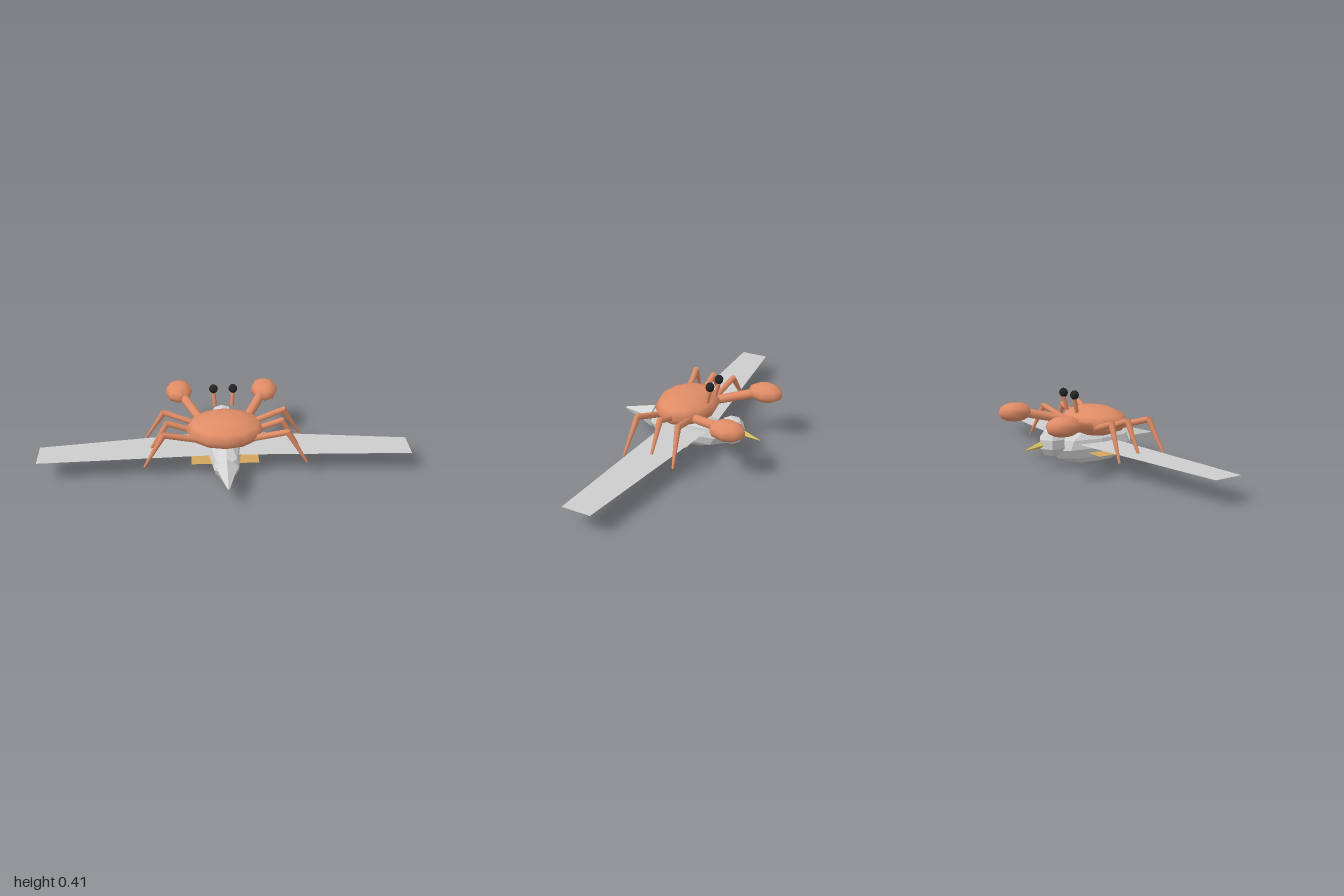
import * as THREE from 'three';

const mat = (name, color, opts = {}) => {
  const m = new THREE.MeshStandardMaterial({ color, ...opts });
  m.name = name;
  return m;
};

export function createModel() {
  const group = new THREE.Group();
  const shell = mat('orange shell', 0xe08c66);
  const feather = mat('grey feathers', 0xd2d2d2, { flatShading: true });
  const wingMat = mat('wing grey', 0xcccccc, { side: THREE.DoubleSide });
  const beakMat = mat('beak yellow', 0xd8c060, { flatShading: true });
  const footMat = mat('foot tan', 0xd2a55c, { side: THREE.DoubleSide });
  const black = mat('eye black', 0x242424);

  const add = (name, geo, material) => {
    const m = new THREE.Mesh(geo, material);
    m.name = name;
    group.add(m);
    return m;
  };

  // Scaled sphere; turn rotates its facets about the upright axis
  const ball = (name, material, c, r, w, h, turn = 0) =>
    add(name, new THREE.SphereGeometry(1, w, h).rotateY(turn).scale(...r).translate(...c), material);

  // Tapered rod from a to b
  const rod = (name, material, a, b, ra, rb, sides = 8, turn = 0) => {
    const A = new THREE.Vector3(...a), B = new THREE.Vector3(...b);
    const dir = B.clone().sub(A);
    const geo = new THREE.CylinderGeometry(rb, ra, dir.length(), sides).rotateY(turn);
    const m = add(name, geo, material);
    m.quaternion.setFromUnitVectors(new THREE.Vector3(0, 1, 0), dir.normalize());
    m.position.copy(A).add(B).multiplyScalar(0.5);
    return m;
  };

  // Flat horizontal plate from [x, z] corners
  const plate = (name, material, pts, y) => {
    const s = new THREE.Shape(pts.map(([x, z]) => new THREE.Vector2(x, -z)));
    return add(name, new THREE.ShapeGeometry(s).rotateX(-Math.PI / 2).translate(0, y, 0), material);
  };

  // Bird
  ball('birdBody', feather, [0, 0.097, 0.027], [0.093, 0.095, 0.267], 8, 6);
  ball('birdHead', feather, [0, 0.14, -0.238], [0.078, 0.077, 0.078], 6, 5, Math.PI / 2);
  rod('beak', beakMat, [0, 0.138, -0.295], [0, 0.118, -0.405], 0.022, 0.001, 4);
  rod('tail', feather, [0, 0.112, 0.235], [0, 0.116, 0.422], 0.064, 0.006, 5, Math.PI);
  // One plate per wing and foot, counter-clockwise seen from above
  plate('wings', wingMat, [[-1, -0.004], [-1, 0.153], [0, 0.118], [1, 0.153], [1, -0.004], [0, -0.122]], 0.125);
  for (const s of [1, -1]) {
    const pts = [[s * 0.06, -0.06], [s * 0.06, 0.127], [s * 0.182, 0.127], [s * 0.182, -0.06]];
    plate(s > 0 ? 'leftFoot' : 'rightFoot', footMat, s > 0 ? pts : pts.reverse(), 0.075);
  }

  // Crab
  ball('crabBody', shell, [0, 0.235, 0.028], [0.212, 0.08, 0.166], 12, 6);
  for (const s of [1, -1]) {
    const side = s > 0 ? 'left' : 'right';

    // Claw and arm
    rod(side + 'Arm', shell, [s * 0.12, 0.225, -0.07], [s * 0.215, 0.268, -0.26], 0.024, 0.026);
    ball(side + 'Claw', shell, [s * 0.242, 0.276, -0.322], [0.076, 0.052, 0.1], 8, 6);

    // Eye on a stalk
    rod(side + 'EyeStalk', shell, [s * 0.047, 0.297, -0.113], [s * 0.053, 0.385, -0.135], 0.011, 0.011);
    ball(side + 'Eye', black, [s * 0.053, 0.391, -0.131], [0.024, 0.025, 0.024], 8, 6);

    // Three bent legs: body joint z, knee z, tip z, knee x, tip x
    const legs = [[-0.055, -0.088, -0.116, 0.328, 0.432], [0.027, 0.027, 0.027, 0.308, 0.412], [0.11, 0.148, 0.17, 0.328, 0.432]];
    legs.forEach(([z0, z1, z2, kx, tx], i) => {
      rod(`${side}UpperLeg${i + 1}`, shell, [s * 0.15, 0.22, z0], [s * kx, 0.276, z1], 0.017, 0.016);
      rod(`${side}LowerLeg${i + 1}`, shell, [s * (kx - 0.005), 0.28, z1], [s * tx, 0.097, z2], 0.017, 0.006);
    });
  }
  return group;
}
